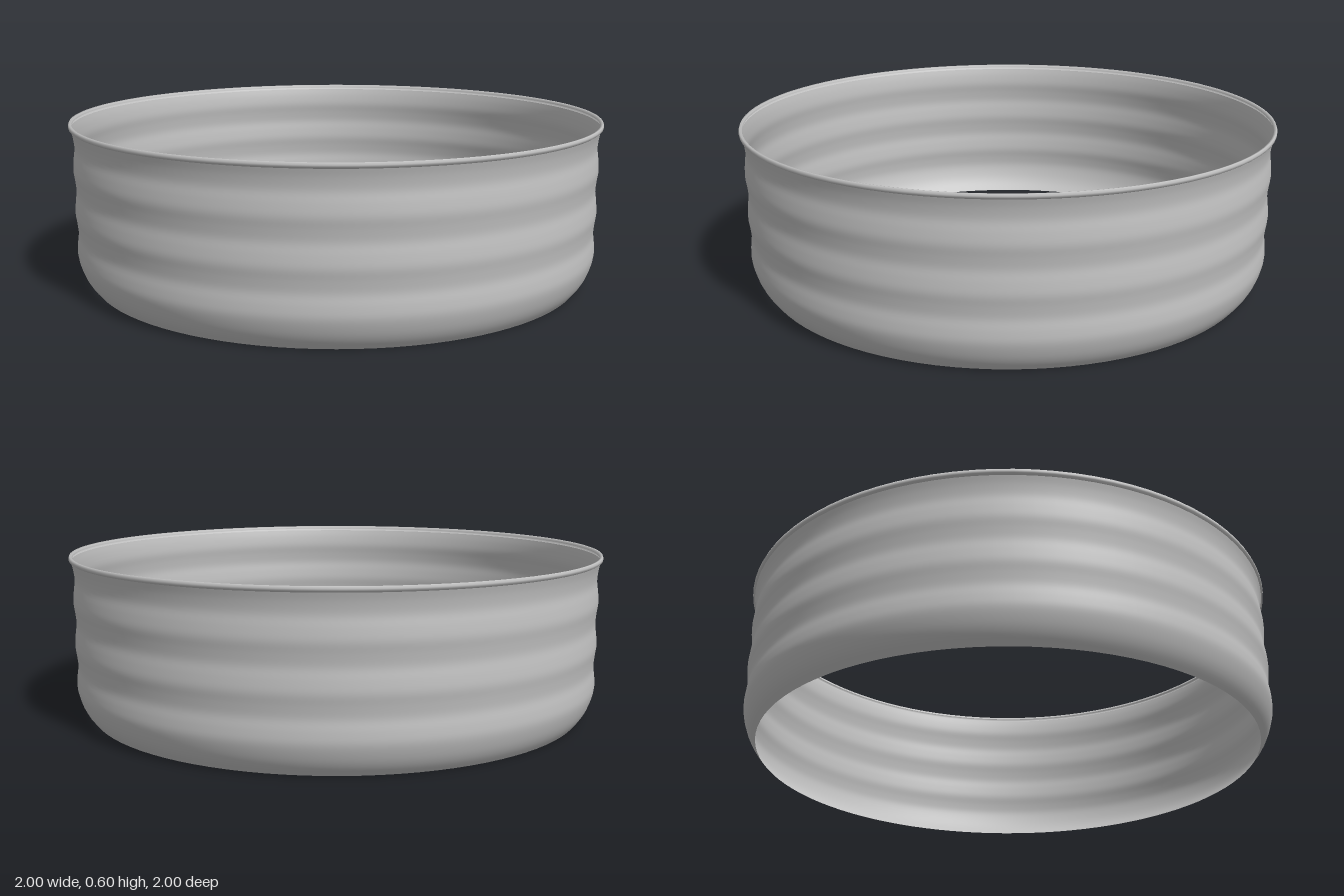
import * as THREE from 'three';

export function createModel() {
  const group = new THREE.Group();
  group.name = 'ribbedRing';
  const metal = new THREE.MeshStandardMaterial({ color: 0xc0c0c0, side: THREE.DoubleSide });
  metal.name = 'light grey metal';

  const lathe = (name, pairs, samples) => {
    const points = pairs.map(([r, y]) => new THREE.Vector2(r, y));
    const profile = samples ? new THREE.SplineCurve(points).getPoints(samples) : points;
    const mesh = new THREE.Mesh(new THREE.LatheGeometry(profile, 96), metal);
    mesh.name = name;
    group.add(mesh);
  };

  // thin wall: rounded-in foot, three shallow ribs and a waist below the lip
  lathe('ribbedWall', [
    [0.935, 0], [0.958, 0.03], [0.975, 0.065], [0.987, 0.11], [0.986, 0.15],
    [0.981, 0.19], [0.984, 0.23], [0.989, 0.27], [0.986, 0.31], [0.981, 0.35],
    [0.984, 0.39], [0.989, 0.43], [0.986, 0.47], [0.981, 0.51], [0.985, 0.55],
    [0.992, 0.58],
  ], 60);

  // narrow turned-out lip
  lathe('rimLip', [[0.992, 0.58], [0.999, 0.585], [1, 0.592], [0.997, 0.6], [0.989, 0.598], [0.987, 0.59]]);

  return group;
}
